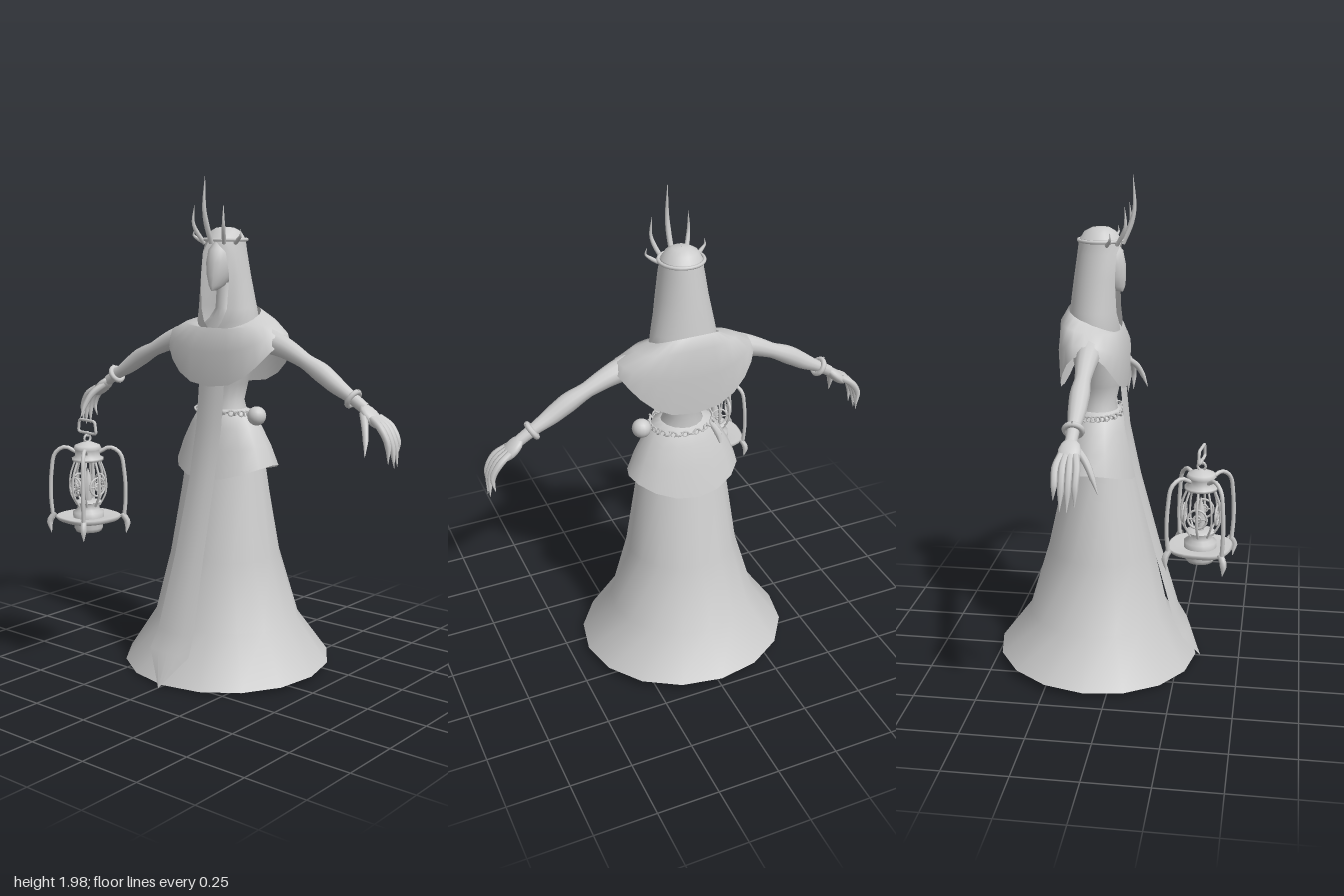
import * as THREE from 'three';

const V = (x, y, z) => new THREE.Vector3(x, y, z);

export function createModel() {
  const model = new THREE.Group();
  const grey = new THREE.MeshStandardMaterial({ color: 0xcccccc, side: THREE.DoubleSide });
  grey.name = 'grey';

  const add = (name, geometry, parent = model) => {
    const mesh = new THREE.Mesh(geometry, grey);
    mesh.name = name;
    parent.add(mesh);
    return mesh;
  };
  const named = (name, parent = model) => {
    const g = new THREE.Group();
    g.name = name;
    parent.add(g);
    return g;
  };

  // Grid surface; f(u, row) gives each point, rows run from bottom to top
  const grid = (nu, nv, f, closed) => {
    const pos = [], idx = [], cols = closed ? nu : nu + 1;
    for (let j = 0; j <= nv; j++)
      for (let i = 0; i < cols; i++) pos.push(...f(i / nu, j).toArray());
    for (let j = 0; j < nv; j++)
      for (let i = 0; i < nu; i++) {
        const a = j * cols + i, b = j * cols + (i + 1) % cols;
        idx.push(a, b, b + cols, a, b + cols, a + cols);
      }
    const g = new THREE.BufferGeometry();
    g.setAttribute('position', new THREE.Float32BufferAttribute(pos, 3));
    g.setIndex(idx);
    g.computeVertexNormals();
    return g;
  };

  // Point on an oval ring: [y, half width, front z, back z, tilt, sag]
  const onRing = ([y, rx, zf, zb, tilt = 0, sag = 0], a, p = 1) => {
    const bend = (s) => Math.sign(s) * Math.abs(s) ** p;
    return V(rx * bend(Math.sin(a)), y + tilt * Math.cos(a) + sag * Math.cos(2 * a),
      (zf + zb) / 2 + (zf - zb) / 2 * bend(Math.cos(a)));
  };
  const loft = (rows, seg = 16, p = 1) =>
    grid(seg, rows.length - 1, (u, j) => onRing(rows[j], u * Math.PI * 2, p), true);

  // Tube through points with a changing radius
  const limb = (points, radii, steps = 16, sides = 8) => {
    const path = new THREE.CatmullRomCurve3(points);
    const g = new THREE.TubeGeometry(path, steps, 1, sides);
    const pos = g.attributes.position, v = V(0, 0, 0);
    for (let i = 0; i <= steps; i++) {
      const c = path.getPointAt(i / steps);
      const s = i / steps * (radii.length - 1), k = Math.min(Math.floor(s), radii.length - 2);
      const r = THREE.MathUtils.lerp(radii[k], radii[k + 1], s - k);
      for (let j = 0; j <= sides; j++) {
        const n = i * (sides + 1) + j;
        v.fromBufferAttribute(pos, n).sub(c).multiplyScalar(r).add(c);
        pos.setXYZ(n, v.x, v.y, v.z);
      }
    }
    return g;
  };
  const lathe = (pts, seg = 16) =>
    new THREE.LatheGeometry(pts.map(([r, y]) => new THREE.Vector2(r, y)), seg);

  // Dress
  add('skirt', loft([[0.027, 0.43, 0.32, -0.5, -0.017], [0.21, 0.305, 0.2, -0.375],
    [0.48, 0.228, 0.14, -0.295], [0.84, 0.18, 0.06, -0.215], [1.0, 0.13, 0.015, -0.17]]));
  add('overskirt', loft([[0.825, 0.23, 0.075, -0.255, 0, -0.03], [0.92, 0.2, 0.052, -0.225, 0, -0.01],
    [1.0, 0.162, 0.03, -0.195], [1.06, 0.122, 0.01, -0.168], [1.07, 0.085, -0.01, -0.155]]));
  add('torso', loft([[1.03, 0.1, 0, -0.165], [1.1, 0.072, -0.015, -0.158], [1.17, 0.09, 0, -0.17],
    [1.27, 0.13, 0.01, -0.185], [1.36, 0.17, -0.015, -0.18], [1.43, 0.08, -0.03, -0.15],
    [1.47, 0.038, -0.035, -0.115], [1.57, 0.032, -0.04, -0.11]]));

  // Shoulder cape, arched over the arms and dipping at front and back
  add('cape', loft([[1.255, 0.285, 0.03, -0.222, 0, -0.092], [1.345, 0.268, 0.035, -0.23, -0.01, -0.035],
    [1.415, 0.2, 0.01, -0.225, -0.02], [1.435, 0.13, -0.005, -0.2, -0.045]], 24, 0.8));

  // Hood, open around the face; last value is the half width of the opening
  const hood = [[1.37, 0.135, 0.005, -0.2, 0.006], [1.42, 0.135, 0.01, -0.2, 0.045],
    [1.47, 0.125, 0.01, -0.195, 0.065], [1.6, 0.1, 0.02, -0.178, 0.072],
    [1.69, 0.086, 0.018, -0.165, 0.058], [1.73, 0.08, 0.01, -0.16, 0.02], [1.745, 0.078, 0.005, -0.157, 0.002]];
  add('hood', grid(24, hood.length - 1, (u, j) => {
    const [y, rx, zf, zb, w] = hood[j], a0 = Math.asin(w / rx);
    return onRing([y, rx, zf, zb], a0 + u * (Math.PI * 2 - 2 * a0));
  }, false));
  add('hoodTop', loft([[1.74, 0.079, 0.005, -0.158], [1.77, 0.062, -0.015, -0.138],
    [1.785, 0.035, -0.04, -0.11], [1.788, 0.001, -0.074, -0.076]]));

  // Smooth face with a pointed chin
  add('head', loft([[1.54, 0.004, 0.012, -0.02], [1.56, 0.024, 0.02, -0.07], [1.6, 0.042, 0.024, -0.11],
    [1.65, 0.052, 0.022, -0.13], [1.7, 0.045, 0.012, -0.13], [1.735, 0.02, -0.02, -0.1]], 16));

  // Crown
  const crown = named('crown');
  const band = add('crownBand', new THREE.TorusGeometry(0.085, 0.007, 8, 28), crown);
  band.rotation.x = Math.PI / 2;
  band.position.set(0, 1.738, -0.075);
  [[0, 1.985, 0.011], [0.62, 1.875, 0.009], [-0.62, 1.875, 0.009], [1.15, 1.78, 0.008], [-1.15, 1.78, 0.008]]
    .forEach(([a, top, r]) => {
      const h = top - 1.73;
      const at = (d, y) => V(d * Math.sin(a), y, -0.075 + d * Math.cos(a));
      add('crownSpike', limb([at(0.085, 1.725), at(0.115, 1.73 + h * 0.25), at(0.13, 1.73 + h * 0.5),
        at(0.125, top)], [r, r, r * 0.6, 0.0005], 12, 6), crown);
    });

  // Long front sash: [y, half width, z]
  const sash = [[0.004, 0.001, 0.34], [0.13, 0.1, 0.288], [0.2, 0.092, 0.25], [0.49, 0.073, 0.165],
    [0.79, 0.064, 0.085], [1.0, 0.064, 0.04], [1.18, 0.064, 0.022]];
  add('sash', grid(4, sash.length - 1, (u, j) => {
    const [y, w, z] = sash[j], s = u * 2 - 1;
    return V(s * w, y, z - 0.014 * s * s * Math.min(1, w * 12));
  }, false));

  // Chain belt with hanging ball
  const belt = named('belt');
  for (let i = 0; i < 34; i++) {
    const a = i / 34 * Math.PI * 2;
    const link = add('chainLink', new THREE.TorusGeometry(0.011, 0.004, 5, 8), belt);
    link.position.copy(onRing([1.055, 0.128, 0.018, -0.174, 0.008], a));
    link.rotation.set(i % 2 ? Math.PI / 2 : 0, a, 0);
  }
  add('beltBall', new THREE.SphereGeometry(0.038, 16, 12), belt).position.set(0.165, 1.05, -0.07);
  add('beltTassel', limb([V(-0.1, 1.05, -0.15), V(-0.115, 1.02, -0.175), V(-0.12, 0.98, -0.19)],
    [0.012, 0.016, 0.006], 8, 6), belt);

  // Arms: [dx, dy, dz] finger tips measured from the hand
  for (const s of [1, -1]) {
    const arm = named(s > 0 ? 'leftArm' : 'rightArm');
    const P = (x, y, z) => V(s * x, y, z);
    add('arm', limb([P(0.17, 1.36, -0.085), P(0.29, 1.325, -0.085), P(0.4, 1.275, -0.083), P(0.46, 1.245, -0.082),
      P(0.54, 1.195, -0.08), P(0.62, 1.15, -0.08), P(0.66, 1.125, -0.08)],
      [0.055, 0.047, 0.038, 0.03, 0.038, 0.034, 0.024, 0.022], 24, 12), arm);
    const bracelet = add('bracelet', new THREE.TorusGeometry(0.031, 0.011, 8, 16), arm);
    bracelet.position.set(s * 0.608, 1.157, -0.08);
    bracelet.lookAt(P(0.7, 1.1, -0.08));
    for (const [x, y] of [[0.632, 1.195], [0.588, 1.12]])
      add('braceletStud', limb([P(0.608, 1.157, -0.08), P(x, y, -0.08)], [0.012, 0.003], 4, 6), arm);
    const palm = add('palm', new THREE.SphereGeometry(1, 14, 10), arm);
    palm.scale.set(0.06, 0.022, 0.042);
    palm.position.set(s * 0.69, 1.098, -0.08);
    palm.rotation.z = -s * 0.75;
    [[-0.118, 0.955, 0.776], [-0.094, 0.92, 0.793], [-0.07, 0.918, 0.795], [-0.045, 0.935, 0.785]]
      .forEach(([z, y, x]) => add('finger', limb([P(0.705, 1.095, -0.08 + (z + 0.08) * 0.7), P(0.75, 1.065, z),
        P(0.782, 1.01, z), P(x, y, z * 1.05)], [0.014, 0.014, 0.012, 0.001], 12, 7), arm));
    add('thumb', limb([P(0.665, 1.11, -0.06), P(0.7, 1.07, -0.02), P(0.72, 1.02, 0.005), P(0.73, 0.965, 0.025)],
      [0.014, 0.014, 0.011, 0.001], 12, 7), arm);
  }

  // Lantern
  const lantern = named('lantern');
  lantern.position.set(-0.355, 0, 0.355);
  lantern.rotation.y = -0.13;
  add('lanternBowl', lathe([[0.001, 0.583], [0.05, 0.585], [0.058, 0.6], [0.058, 0.64]]), lantern);
  add('lanternPlate', loft([[0.63, 0.05, 0.05, -0.05], [0.632, 0.11, 0.11, -0.11], [0.645, 0.122, 0.122, -0.122],
    [0.65, 0.115, 0.115, -0.115], [0.642, 0.05, 0.05, -0.05]], 32, 0.75), lantern);
  add('lanternBurner', lathe([[0.062, 0.64], [0.062, 0.665], [0.045, 0.675], [0.045, 0.7], [0.055, 0.705], [0.03, 0.71],
    [0.001, 0.71]]), lantern);
  add('lanternCap', lathe([[0.04, 0.868], [0.062, 0.872], [0.064, 0.882], [0.05, 0.89], [0.05, 0.915], [0.056, 0.92],
    [0.05, 0.933], [0.025, 0.943], [0.012, 0.946], [0.001, 0.95]]), lantern);
  add('lanternWick', lathe([[0.012, 0.7], [0.018, 0.76], [0.012, 0.8], [0.001, 0.84]], 10), lantern);

  for (let i = 0; i < 4; i++) {
    const a = Math.PI / 4 + i * Math.PI / 2;
    const at = (r, y, t = a) => V(r * Math.sin(t), y, r * Math.cos(t));
    // Corner bars, feet and cage around the flame
    add('lanternBar', limb([at(0.045, 0.905), at(0.09, 0.925), at(0.13, 0.9), at(0.145, 0.83), at(0.15, 0.73),
      at(0.142, 0.635)], [0.008, 0.008], 20, 8), lantern);
    add('lanternSpike', limb([at(0.135, 0.655), at(0.155, 0.625), at(0.15, 0.575)], [0.012, 0.013, 0.001], 8, 6), lantern);
    const b = a + Math.PI / 4;
    add('cageWire', limb([at(0.045, 0.69, b), at(0.072, 0.74, b), at(0.072, 0.81, b), at(0.05, 0.872, b)],
      [0.005, 0.005], 12, 6), lantern);
    add('cageWire', limb([at(0.045, 0.69), at(0.07, 0.74), at(0.07, 0.81), at(0.05, 0.872)],
      [0.004, 0.004], 12, 6), lantern);
    const wheel = named('cageWheel', lantern);
    wheel.position.copy(at(0.062, 0.772, b));
    wheel.rotation.y = b;
    add('wheelRim', new THREE.TorusGeometry(0.036, 0.0045, 6, 18), wheel);
    add('wheelHub', new THREE.TorusGeometry(0.014, 0.004, 6, 12), wheel);
    for (let k = 0; k < 2; k++)
      add('wheelSpoke', new THREE.CylinderGeometry(0.003, 0.003, 0.07, 6), wheel).rotation.z = k * Math.PI / 2;
  }

  // Hanging loop and handle
  const loop = add('lanternLoop', new THREE.TorusGeometry(0.015, 0.005, 6, 14), lantern);
  loop.position.y = 0.96;
  loop.rotation.y = Math.PI / 2;
  add('handleStem', new THREE.CylinderGeometry(0.006, 0.006, 0.02, 8), lantern).position.y = 0.978;
  const handle = new THREE.CatmullRomCurve3([V(-0.046, 0.982, 0), V(0.046, 0.982, 0), V(0.056, 0.99, 0),
    V(0.05, 1.025, 0), V(0.04, 1.032, 0), V(-0.04, 1.032, 0), V(-0.05, 1.025, 0), V(-0.056, 0.99, 0)], true, 'catmullrom', 0.2);
  add('lanternHandle', new THREE.TubeGeometry(handle, 40, 0.006, 8, true), lantern);

  return model;
}
